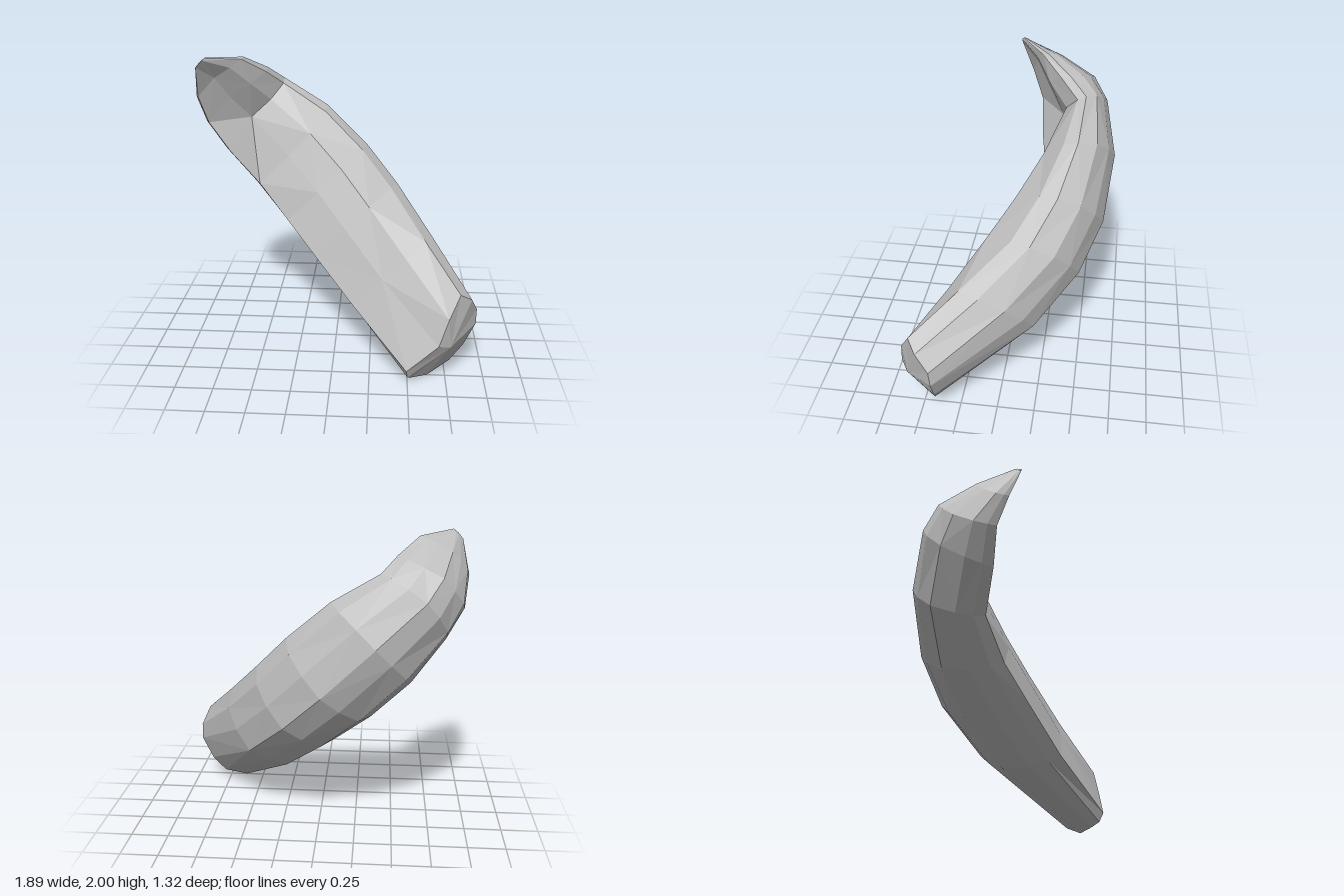
import * as THREE from 'three';

// Cross-section rule: [side position -1..1, depth 0 = inner face .. 1 = outer back]
const PROFILE = [
  [-0.9, 0.05], [-0.1, 0], [0.5, 0.02], [0.93, 0.3], [1, 0.5], [0.82, 0.75],
  [0.45, 0.91], [0, 1], [-0.4, 0.91], [-0.8, 0.73], [-1, 0.42], [-0.98, 0.2],
];

// Stations along the bent body:
// [inner s, inner z, outer s, outer z, low side, high side, dent of the inner face, shear of the high side]
const STATIONS = [
  [-1.31, 0.05, -1.31, 0.0, 0.02, 0.11, 0, 0],
  [-1.17, -0.02, -1.22, -0.24, -0.15, 0.25, 0.25, 0.06],
  [-1.0, -0.085, -1.09, -0.48, -0.26, 0.28, 0.22, 0.08],
  [-0.75, -0.1, -0.93, -0.58, -0.315, 0.285, 0.42, 0.04],
  [-0.45, -0.145, -0.53, -0.66, -0.36, 0.37, 0.06, 0],
  [-0.15, -0.02, -0.06, -0.615, -0.375, 0.39, 0, 0],
  [0.13, 0.145, 0.3, -0.48, -0.37, 0.375, 0, 0],
  [0.5, 0.36, 0.68, -0.21, -0.36, 0.35, -0.2, 0],
];

// Rim of the broad base, in the same order as the profile
const BASE_RIM = [
  [0.49, 0.11, 0.65], [0.69, 0.3, 0.655], [0.75, 0.48, 0.63], [0.82, 0.62, 0.56],
  [0.9, 0.56, 0.5], [0.945, 0.45, 0.41], [0.945, 0.34, 0.4], [0.87, 0.18, 0.4],
  [0.78, 0.07, 0.42], [0.63, 0, 0.5], [0.53, 0.02, 0.57], [0.5, 0.05, 0.62],
];

// The body runs diagonally: s goes down to the right, v goes up to the right
const place = (s, v, z) => new THREE.Vector3((s + v) * Math.SQRT1_2, 1 + (v - s) * Math.SQRT1_2, z);

function makeRing([si, zi, so, zo, lo, hi, dent, shear]) {
  return PROFILE.map(([p, depth]) => {
    const sunk = dent * THREE.MathUtils.smoothstep(p, -0.9, 0.1) * (1 - depth);
    const t = Math.max(0, depth + sunk);
    return place(
      si + (so - si) * t + shear * Math.max(p, 0),
      (lo + hi) / 2 + (p * (hi - lo)) / 2,
      zi + (zo - zi) * t,
    );
  });
}

function surface(name, triangles, material) {
  const geometry = new THREE.BufferGeometry().setFromPoints(triangles);
  geometry.computeVertexNormals();
  const mesh = new THREE.Mesh(geometry, material);
  mesh.name = name;
  return mesh;
}

export function createModel() {
  const grey = new THREE.MeshStandardMaterial({ color: 0xc0c0c0 });
  grey.name = 'plain grey';
  grey.flatShading = true;

  const rings = STATIONS.map(makeRing);
  rings.push(BASE_RIM.map((p) => new THREE.Vector3(...p)));
  const n = PROFILE.length;
  const first = rings[0];
  const last = rings[rings.length - 1];

  // Curved body, with the diagonals alternating for an irregular faceted skin
  const body = [];
  for (let i = 0; i < rings.length - 1; i++) {
    for (let j = 0; j < n; j++) {
      const k = (j + 1) % n;
      const a = rings[i][j], b = rings[i][k], c = rings[i + 1][j], d = rings[i + 1][k];
      if ((i + j) % 2) body.push(a, c, b, b, c, d);
      else body.push(a, c, d, a, d, b);
    }
  }

  // End faces: a small closed tip and a broad, slightly domed base
  const tip = [];
  const base = [];
  const tipCentre = place(-1.315, 0.07, 0.025);
  const baseCentre = new THREE.Vector3(0.77, 0.27, 0.6);
  for (let j = 0; j < n; j++) {
    const k = (j + 1) % n;
    tip.push(tipCentre, first[j], first[k]);
    base.push(baseCentre, last[k], last[j]);
  }

  const group = new THREE.Group();
  group.name = 'bentSegment';
  group.add(
    surface('curvedBody', body, grey),
    surface('tipFace', tip, grey),
    surface('baseFace', base, grey),
  );
  return group;
}
